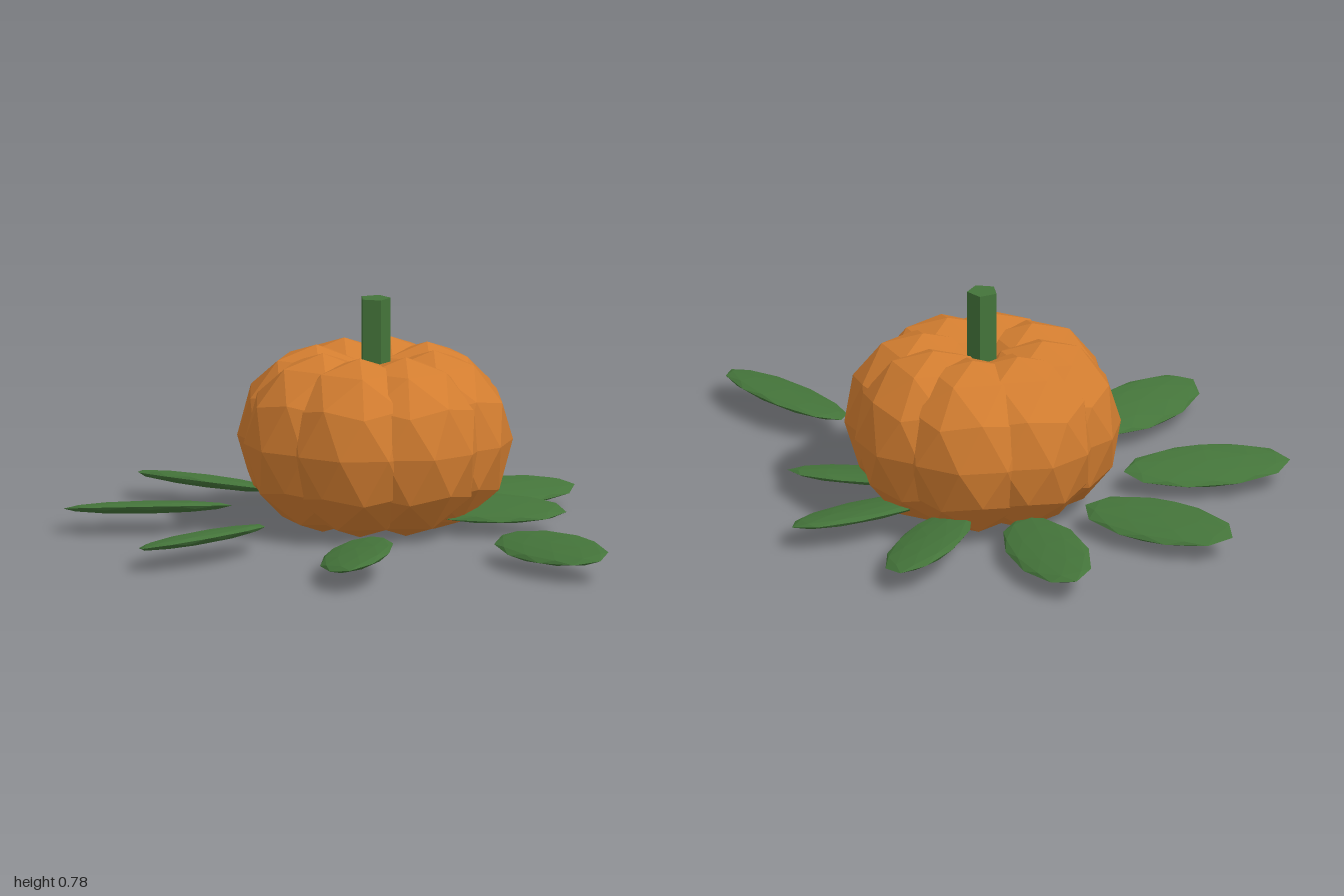
import * as THREE from 'three';

const orange = new THREE.MeshStandardMaterial({ color: 0xd27d30 });
orange.name = 'pumpkinOrange';
const green = new THREE.MeshStandardMaterial({ color: 0x44743a });
green.name = 'leafGreen';

// Faceted ball with a corner at each pole, stretched to the given radii
function facetedBall(rx, ry, rz) {
  const geometry = new THREE.IcosahedronGeometry(1, 1);
  geometry.rotateZ(-Math.atan(2 / (1 + Math.sqrt(5))));
  geometry.scale(rx, ry, rz);
  geometry.computeVertexNormals();
  return geometry;
}

export function createModel() {
  const model = new THREE.Group();
  model.name = 'pumpkinWithLeaves';

  // Pumpkin: a ring of eight overlapping lobes
  const pumpkin = new THREE.Group();
  pumpkin.name = 'pumpkin';
  pumpkin.position.set(-0.01, 0, -0.193);
  const lobeGeometry = facetedBall(0.267, 0.306, 0.267);
  for (let i = 0; i < 8; i++) {
    const angle = (i * Math.PI) / 4;
    const lobe = new THREE.Mesh(lobeGeometry, orange);
    lobe.name = `lobe${i + 1}`;
    lobe.position.set(0.204 * Math.cos(angle), 0.306, 0.204 * Math.sin(angle));
    pumpkin.add(lobe);
  }

  // Five-sided stem with its corner to the back
  const stemGeometry = new THREE.CylinderGeometry(0.053, 0.053, 0.38, 5).toNonIndexed();
  stemGeometry.computeVertexNormals();
  const stem = new THREE.Mesh(stemGeometry, green);
  stem.name = 'stem';
  stem.position.y = 0.592;
  stem.rotation.y = Math.PI;
  pumpkin.add(stem);
  model.add(pumpkin);

  // Leaves: x, z and outward direction in degrees from +x towards +z
  const leaves = [
    [0.37, -0.195, 0],
    [0.765, 0.435, 40],
    [0.16, 0.71, 80],
    [-0.42, 0.545, 120],
    [-0.73, 0.075, 160],
    [-0.65, -0.42, 200],
    [-0.32, -0.725, 240],
    [0.085, -0.72, 280],
    [0.34, -0.495, 320],
  ];
  const leafGeometry = facetedBall(0.125, 0.022, 0.285);
  leaves.forEach(([x, z, degrees], i) => {
    const leaf = new THREE.Mesh(leafGeometry, green);
    leaf.name = `leaf${i + 1}`;
    leaf.position.set(x, 0.08, z);
    // Turn outward, then tip one long edge up
    leaf.rotation.set(0, THREE.MathUtils.degToRad(90 - degrees), 0.2);
    model.add(leaf);
  });

  return model;
}
